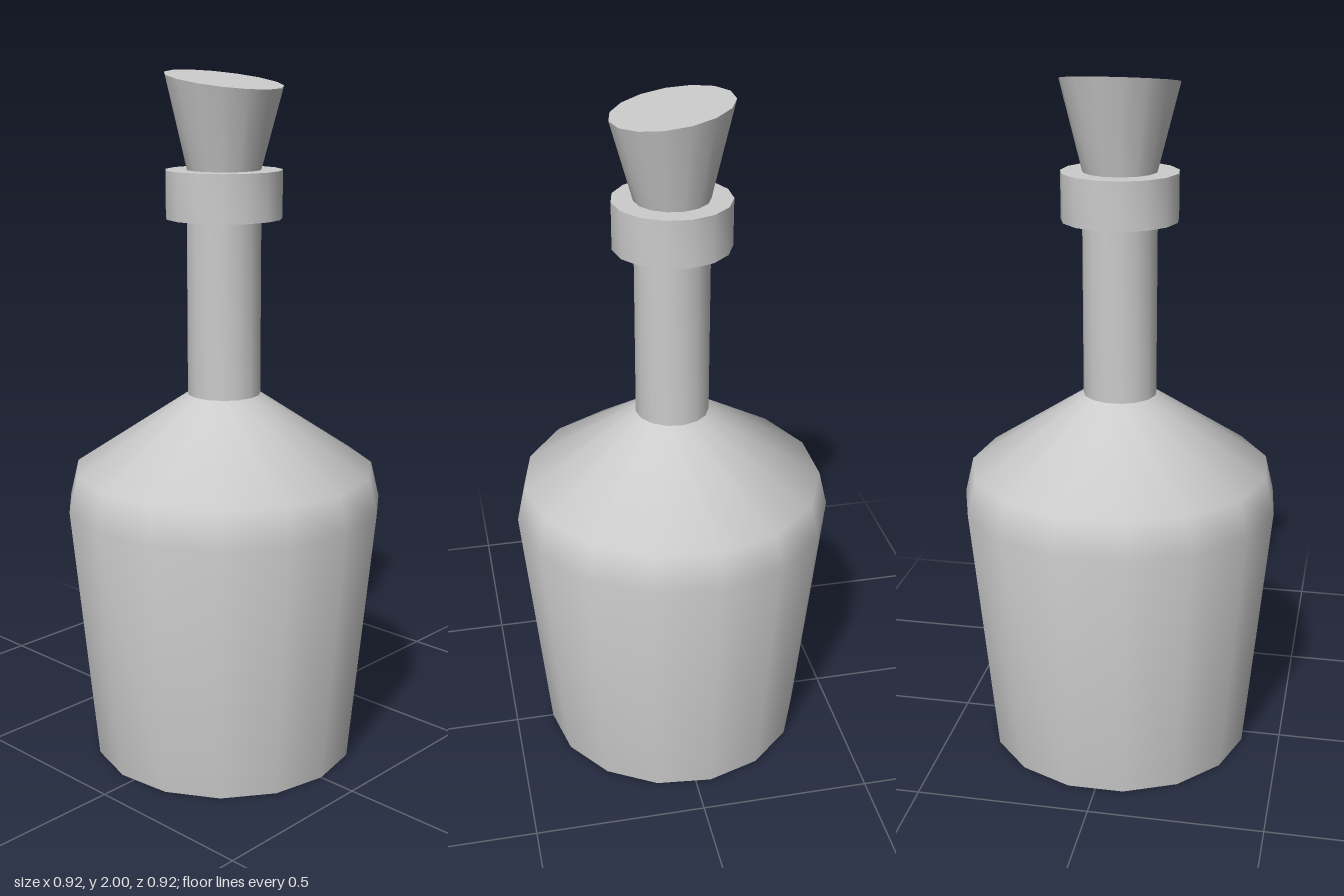
import * as THREE from 'three';
import { toCreasedNormals } from 'three/addons/utils/BufferGeometryUtils.js';

const SIDES = 15;
const material = new THREE.MeshStandardMaterial({ color: 0xcccccc });

// Turned part from [radius, height] pairs, listed bottom to top, with a corner on +x
function turned(name, profile, reshape) {
  const points = profile.map(([r, y]) => new THREE.Vector2(r, y));
  const geometry = new THREE.LatheGeometry(points, SIDES, Math.PI / 2);
  if (reshape) reshape(geometry.attributes.position);
  const mesh = new THREE.Mesh(toCreasedNormals(geometry, THREE.MathUtils.degToRad(50)), material);
  mesh.name = name;
  return mesh;
}

// Tilt the stopper's top down toward +x
function slantTop(position) {
  for (let i = 0; i < position.count; i++) {
    if (position.getY(i) > 1.9) position.setY(i, position.getY(i) - 0.15 * position.getX(i));
  }
}

export function createModel() {
  const bottle = new THREE.Group();
  bottle.name = 'bottle';

  bottle.add(
    // Flat base, flared wall, rounded shoulder and straight neck
    turned('body', [[0, 0], [0.39, 0], [0.463, 0.765], [0.438, 0.87], [0.106, 1.09], [0.106, 1.595]]),
    // Ring around the mouth
    turned('collar', [[0, 1.595], [0.166, 1.595], [0.166, 1.73], [0, 1.73]]),
    // Flared stopper with a slanted top
    turned('stopper', [[0, 1.72], [0.103, 1.72], [0.167, 1.975], [0, 1.975]], slantTop)
  );

  // An odd number of sides reaches further on +x, so shift to centre the outline
  bottle.position.x = -0.005;

  const model = new THREE.Group();
  model.add(bottle);
  return model;
}
